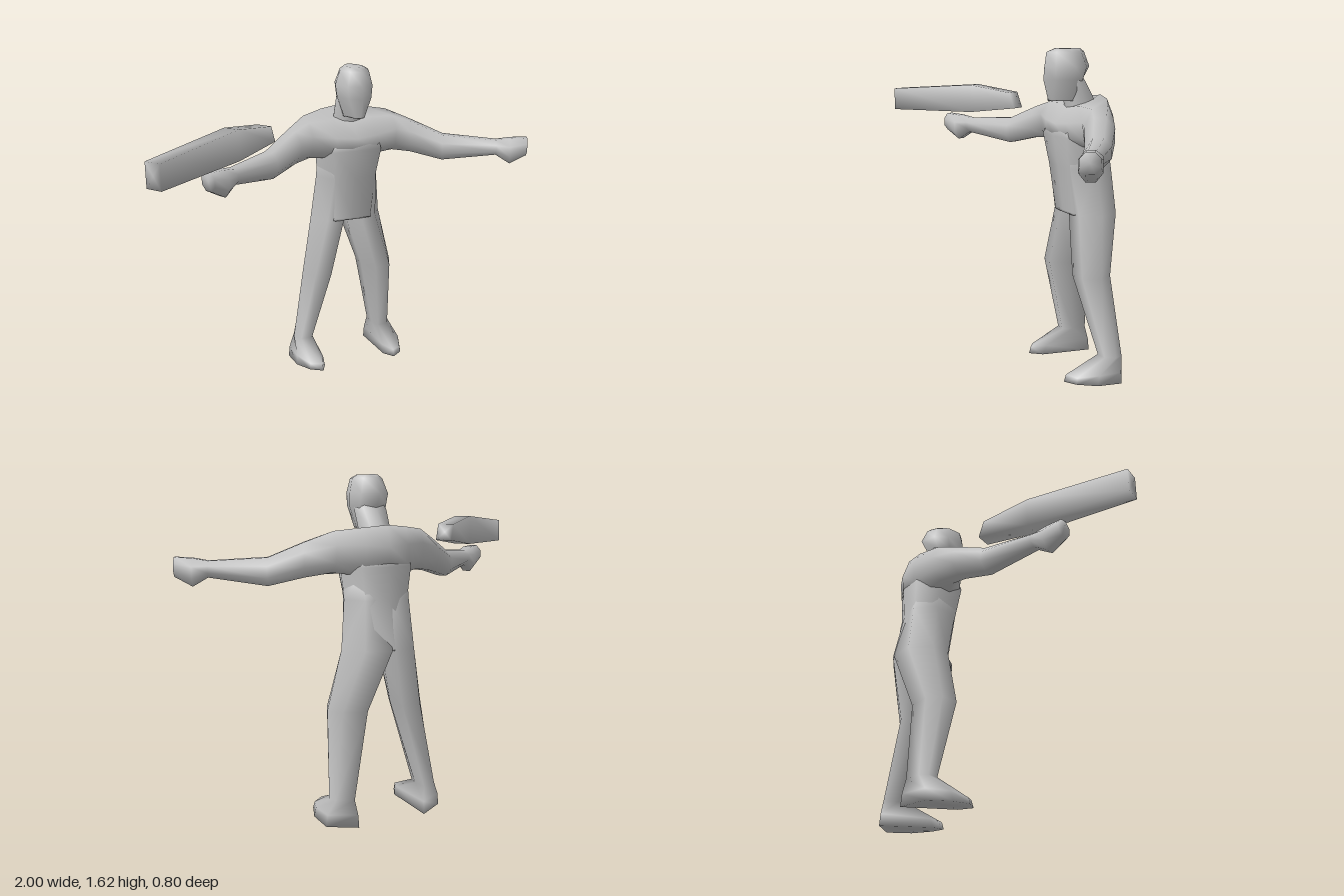
import * as THREE from 'three';

const clay = new THREE.MeshStandardMaterial({ color: 0xc0c0c0 });
clay.name = 'light grey clay';

// Smooth closed skin over a list of rings of [x, y, z] points, capped at both ends
function loft(name, rings) {
  const n = rings[0].length, pts = rings.flat(), idx = [];
  for (let r = 0; r < rings.length - 1; r++) {
    for (let i = 0; i < n; i++) {
      const a = r * n + i, b = r * n + (i + 1) % n;
      idx.push(a, b, a + n, b, b + n, a + n);
    }
  }
  const cap = (r, flip) => {
    const mid = [0, 1, 2].map(k => rings[r].reduce((s, p) => s + p[k], 0) / n);
    const c = pts.push(mid) - 1;
    for (let i = 0; i < n; i++) {
      const a = r * n + i, b = r * n + (i + 1) % n;
      idx.push(c, ...(flip ? [b, a] : [a, b]));
    }
  };
  cap(0, true);
  cap(rings.length - 1, false);
  // Turn the skin outward if its enclosed volume comes out negative
  const v = pts.map(p => new THREE.Vector3(...p));
  let volume = 0;
  for (let i = 0; i < idx.length; i += 3) {
    volume += v[idx[i]].dot(v[idx[i + 1]].clone().cross(v[idx[i + 2]]));
  }
  if (volume < 0) idx.reverse();
  const geo = new THREE.BufferGeometry();
  geo.setAttribute('position', new THREE.Float32BufferAttribute(pts.flat(), 3));
  geo.setIndex(idx);
  geo.computeVertexNormals();
  const mesh = new THREE.Mesh(geo, clay);
  mesh.name = name;
  return mesh;
}

// Complete a symmetric ring from its front-to-back half
const mirrorRing = half => [...half, ...half.slice(1, -1).reverse().map(([x, y, z]) => [-x, y, z])];
const flat = (y, ring) => ring.map(([x, z]) => [x, y, z]);
const level = (y, half) => mirrorRing(flat(y, half));
const slice = (x, ring) => ring.map(([y, z]) => [x, y, z]);
const flipX = rings => rings.map(r => r.map(([x, y, z]) => [-x, y, z]));

export function createModel() {
  const model = new THREE.Group();
  model.name = 'batter';
  const figure = new THREE.Group();
  figure.name = 'figure';
  figure.position.x = 0.145;
  model.add(figure);

  // Torso, with a straight hem in front; its top is hidden in the shoulders
  const hem = [[0, -0.135], [0.1, -0.14], [0.17, -0.25], [0.1, -0.345], [0, -0.398]];
  figure.add(loft('torso', [
    level(0.82, hem),
    level(0.83, hem),
    level(1.05, [[0, -0.105], [0.11, -0.11], [0.165, -0.23], [0.11, -0.33], [0, -0.35]]),
    level(1.2, [[0, -0.08], [0.13, -0.085], [0.18, -0.21], [0.13, -0.33], [0, -0.36]]),
    level(1.25, [[0, -0.09], [0.12, -0.1], [0.17, -0.2], [0.12, -0.325], [0, -0.355]]),
    level(1.28, [[0, -0.12], [0.1, -0.13], [0.14, -0.2], [0.1, -0.3], [0, -0.33]]),
  ]));

  // Shoulders and arms in one sweep from hand to hand
  const collar = slice(0, [[1.26, -0.085], [1.335, -0.15], [1.39, -0.335], [1.29, -0.368],
    [1.22, -0.362], [1.18, -0.3], [1.18, -0.15], [1.2, -0.083]]);
  const arm = [
    slice(0.11, [[1.27, -0.09], [1.35, -0.16], [1.38, -0.31], [1.3, -0.345],
      [1.21, -0.337], [1.16, -0.28], [1.16, -0.15], [1.2, -0.09]]),
    slice(0.23, [[1.285, -0.115], [1.345, -0.165], [1.365, -0.25], [1.3, -0.28],
      [1.22, -0.275], [1.175, -0.23], [1.165, -0.17], [1.2, -0.125]]),
    // Eight-sided sections as centre x, y, z, half height, half depth
    ...[
      [0.33, 1.235, -0.155, 0.08, 0.07],
      [0.475, 1.18, -0.07, 0.065, 0.06],
      [0.705, 1.19, 0.08, 0.038, 0.045],
      [0.765, 1.175, 0.12, 0.065, 0.052],
      [0.838, 1.2, 0.16, 0.045, 0.044],
    ].map(([x, y, z, h, d]) => Array.from({ length: 8 }, (_, i) => {
      const t = (i + 0.5) * Math.PI / 4, c = Math.cos(t) * 1.08, s = Math.sin(t) * 1.08;
      return [x - 0.45 * d * c, y + h * s, z + 0.88 * d * c];
    })),
  ];
  figure.add(loft('shouldersAndArms', [...flipX(arm).reverse(), collar, ...arm]));

  // Neck
  figure.add(loft('neck', [
    mirrorRing([[0, 1.28, -0.15], [0.06, 1.29, -0.16], [0.085, 1.3, -0.21], [0.05, 1.31, -0.29], [0, 1.32, -0.32]]),
    mirrorRing([[0, 1.34, -0.15], [0.05, 1.345, -0.16], [0.08, 1.36, -0.21], [0.05, 1.37, -0.275], [0, 1.38, -0.29]]),
    level(1.46, [[0, -0.13], [0.05, -0.14], [0.083, -0.17], [0.06, -0.22], [0, -0.237]]),
    level(1.5, [[0, -0.13], [0.04, -0.14], [0.065, -0.17], [0.04, -0.2], [0, -0.21]]),
  ]));

  // Head, narrowing to the chin
  const jaw = [[0, -0.05], [0.025, -0.06], [0.055, -0.14], [0.045, -0.19], [0, -0.21]];
  figure.add(loft('head', [
    level(1.37, jaw),
    level(1.375, jaw),
    level(1.47, [[0, -0.025], [0.06, -0.06], [0.09, -0.14], [0.07, -0.2], [0, -0.235]]),
    level(1.53, [[0, -0.03], [0.065, -0.06], [0.095, -0.15], [0.07, -0.22], [0, -0.27]]),
    level(1.6, [[0, -0.04], [0.05, -0.07], [0.075, -0.14], [0.05, -0.2], [0, -0.24]]),
    level(1.617, [[0, -0.09], [0.03, -0.1], [0.045, -0.14], [0.03, -0.19], [0, -0.22]]),
  ]));

  // Leg with hip and foot: front inner, front outer, outer, back outer, back inner, inner
  const leg = [
    flat(1.18, [[0.05, -0.13], [0.12, -0.1], [0.17, -0.21], [0.12, -0.31], [0.01, -0.33], [0.005, -0.25]]),
    flat(1.05, [[0.05, -0.13], [0.115, -0.115], [0.17, -0.23], [0.115, -0.335], [0.01, -0.342], [0.005, -0.25]]),
    flat(0.82, [[0.05, -0.142], [0.135, -0.155], [0.195, -0.25], [0.13, -0.36], [0.008, -0.398], [0.005, -0.27]]),
    flat(0.53, [[0.13, -0.125], [0.215, -0.135], [0.255, -0.22], [0.21, -0.29], [0.095, -0.32], [0.085, -0.22]]),
    flat(0.13, [[0.2, -0.235], [0.26, -0.24], [0.285, -0.29], [0.27, -0.33], [0.19, -0.365], [0.185, -0.29]]),
    [[0.21, 0.055, -0.055], [0.265, 0.05, -0.09], [0.305, 0.06, -0.19], [0.305, 0.06, -0.31], [0.18, 0.06, -0.38], [0.178, 0.06, -0.13]],
    [[0.21, 0.02, -0.045], [0.27, 0.02, -0.085], [0.31, 0.012, -0.18], [0.31, 0.004, -0.31], [0.178, 0, -0.385], [0.175, 0.015, -0.11]],
  ];
  figure.add(loft('leftLeg', leg), loft('rightLeg', flipX(leg)));

  // Long bar floating above the right hand: centre x, z, bottom, top, lean of the end
  const bar = [
    [-0.975, 0.367, 1.253, 1.37, 0],
    [-0.55, 0.065, 1.262, 1.408, 0],
    [-0.335, -0.087, 1.295, 1.375, 0.012],
  ].map(([x, z, lo, hi, lean]) => [[-1, lo, lean], [1, lo, lean], [1, hi, -lean], [-1, hi, -lean]]
    .map(([s, y, out]) => [x + s * 0.024 + out, y, z + s * 0.033 - out * 0.7]));
  model.add(loft('bar', bar));

  return model;
}
